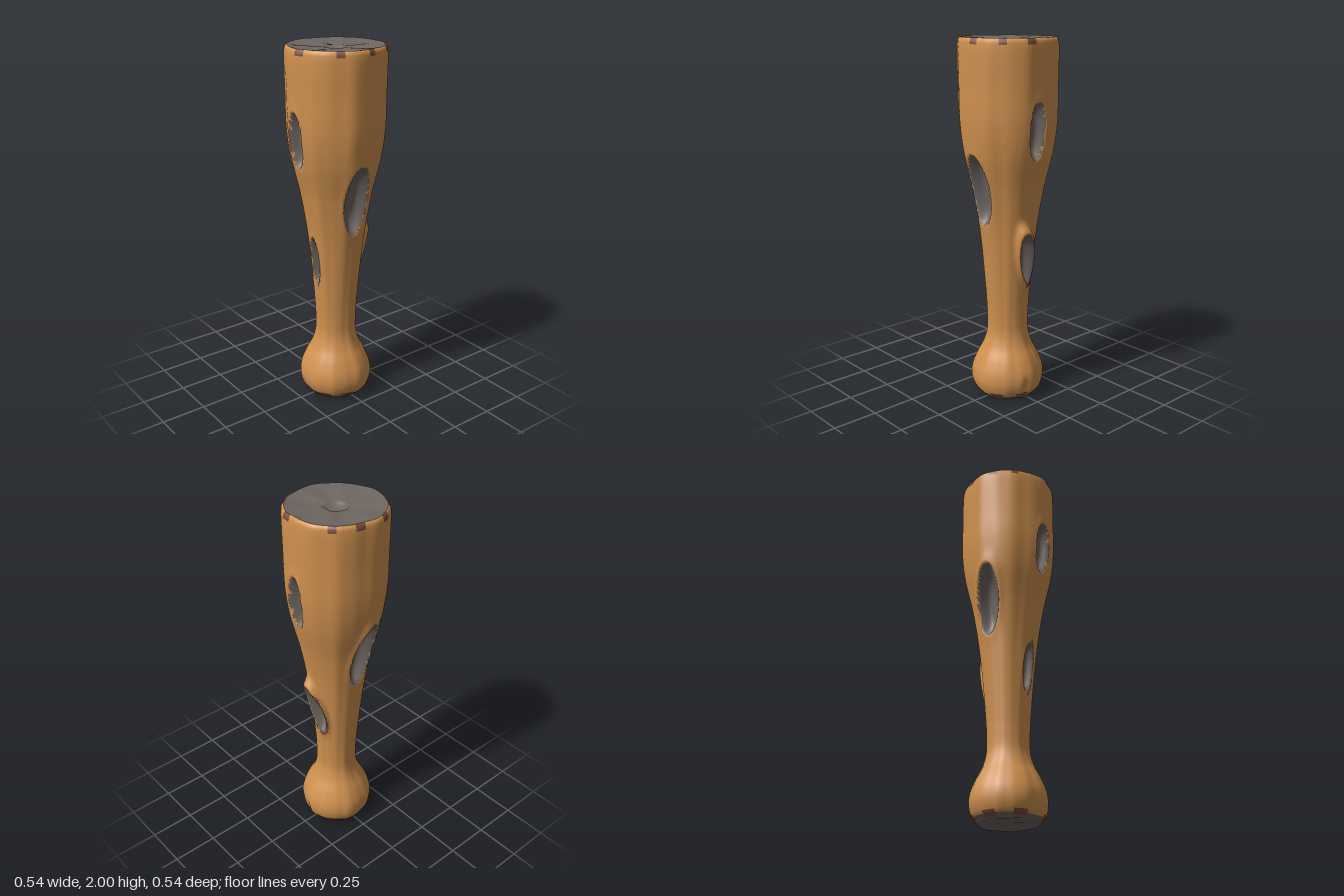
import * as THREE from 'three';

const wood = new THREE.MeshStandardMaterial({ color: 0xd0914f });
wood.name = 'orange wood';
const core = new THREE.MeshStandardMaterial({ color: 0x6e6661 });
core.name = 'grey core';
const chip = new THREE.MeshStandardMaterial({ color: 0x7a4c3a });
chip.name = 'brown chipped edge';

const COLS = 160, ROWS = 210;

// Outer profile: radius, height
const profile = new THREE.CatmullRomCurve3([
  [0.165, 0.015], [0.185, 0.035], [0.203, 0.09], [0.2, 0.15], [0.175, 0.22], [0.135, 0.3],
  [0.116, 0.37], [0.115, 0.48], [0.124, 0.62], [0.14, 0.8], [0.163, 1.0], [0.197, 1.2],
  [0.243, 1.4], [0.262, 1.55], [0.266, 1.75], [0.267, 1.965], [0.262, 1.99], [0.252, 1.998],
].map(([r, y]) => new THREE.Vector3(r, y, 0)));

// Oval hollows: a = angle from the front toward +x, w and h = half sizes
const hollows = [
  { a: -0.03, y: 1.2, w: 0.075, h: 0.2, depth: 0.06, lip: 0.004, tilt: 0 },
  { a: Math.PI + 0.1, y: 1.2, w: 0.07, h: 0.2, depth: 0.06, lip: 0.012, tilt: 0.1 },
  { a: Math.PI / 2 - 0.07, y: 1.525, w: 0.05, h: 0.155, depth: 0.05, lip: 0.003, tilt: 0 },
  { a: -Math.PI / 2, y: 1.525, w: 0.05, h: 0.155, depth: 0.05, lip: 0.003, tilt: 0 },
  { a: Math.PI / 2 + 0.06, y: 0.815, w: 0.048, h: 0.155, depth: 0.04, lip: 0.042, tilt: -0.2, chipped: true },
  { a: -Math.PI / 2, y: 0.83, w: 0.035, h: 0.14, depth: 0.035, lip: 0.003, tilt: 0, chipped: true },
];

// Angles of the chips along the top and bottom rims
const topChips = [[0.19, -0.19], [0.07, -0.265], [-0.1, -0.25], [-0.2, -0.17], [-0.265, 0.05],
  [-0.14, 0.225], [0.03, 0.265], [0.19, 0.205], [0.26, 0.07]].map(([x, z]) => Math.atan2(x, z));
const bottomChips = [0.5, 1.3, 2.4, 3.3, 4.2, 5.3, 6.0];

const wrap = (a) => Math.atan2(Math.sin(a), Math.cos(a));

// Elliptic distance from the centre of a hollow; 1 is its edge
function hollowDistance(hole, a, y, r) {
  const v = (y - hole.y) / hole.h;
  const u = (wrap(a - hole.a) - hole.tilt * v) * r / hole.w;
  return Math.hypot(u, v);
}

// Gentle uneven fluting of the wood
function fluting(a, y) {
  return 1 + 0.012 * Math.sin(5 * a + 1.5 * y) + 0.008 * Math.sin(9 * a - 2 * y + 1)
    + 0.004 * Math.sin(16 * a + 0.5);
}

function surfaceRadius(a, y, base) {
  let r = base * fluting(a, y);
  for (const hole of hollows) {
    const d = hollowDistance(hole, a, y, base);
    if (d > 2.5) continue;
    const v = THREE.MathUtils.clamp((y - hole.y) / hole.h, -1, 1);
    r += hole.lip * (0.6 + 0.4 * v) * Math.exp(-Math.pow((d - 1) / 0.3, 2));
    if (d < 1) r -= hole.depth * (1 - d ** 4);
  }
  // Crease down the foot
  const foot = Math.exp(-Math.pow((y - 0.07) / 0.06, 2));
  return r - 0.014 * foot * Math.exp(-Math.pow(wrap(a - 1.4) / 0.12, 2));
}

// Colour slot: 0 wood, 1 core, 2 chip
function slotAt(a, y, r) {
  for (const hole of hollows) {
    const d = hollowDistance(hole, a, y, r);
    if (d < 1) return 1;
    if (hole.chipped && d < 1.16 && wrap(a - hole.a) > 0.05) return 2;
  }
  const near = (list, width) => list.some((c) => Math.abs(wrap(a - c)) < width);
  if (y > 1.967 && near(topChips, 0.09)) return 2;
  if (y < 0.04 && near(bottomChips, 0.2)) return 2;
  if (y < 0.026) return 1;
  return 0;
}

function buildBody() {
  const positions = [];
  const slots = [[], [], []];
  const rows = profile.getSpacedPoints(ROWS);
  rows.forEach(({ x: base, y }) => {
    for (let j = 0; j < COLS; j++) {
      const a = j / COLS * Math.PI * 2;
      const r = surfaceRadius(a, y, base);
      positions.push(r * Math.sin(a), y, r * Math.cos(a));
    }
  });
  for (let i = 0; i < ROWS; i++) {
    const y = (rows[i].y + rows[i + 1].y) / 2;
    const r = (rows[i].x + rows[i + 1].x) / 2;
    for (let j = 0; j < COLS; j++) {
      const k = (j + 1) % COLS;
      const a = i * COLS + j, b = i * COLS + k, c = a + COLS, d = b + COLS;
      slots[slotAt((j + 0.5) / COLS * Math.PI * 2, y, r)].push(a, b, c, b, d, c);
    }
  }
  const geometry = new THREE.BufferGeometry();
  geometry.setAttribute('position', new THREE.Float32BufferAttribute(positions, 3));
  geometry.setIndex(slots.flat());
  let start = 0;
  slots.forEach((list, slot) => {
    geometry.addGroup(start, list.length, slot);
    start += list.length;
  });
  geometry.computeVertexNormals();
  return new THREE.Mesh(geometry, [wood, core, chip]);
}

// End face: rings from the rim to the centre, following the fluted outline
function buildEnd(rings, rimHeight, ripple, up) {
  const positions = [], index = [];
  rings.forEach(([r, y], i) => {
    for (let j = 0; j < COLS; j++) {
      const a = j / COLS * Math.PI * 2;
      const rr = i === 0 ? surfaceRadius(a, rimHeight, r) : r * fluting(a, rimHeight);
      const wave = i > 0 && r > 0.07 ? ripple * Math.sin(6 * a + 1) : 0;
      positions.push(rr * Math.sin(a), y + wave, rr * Math.cos(a));
    }
  });
  for (let i = 0; i < rings.length - 1; i++) {
    for (let j = 0; j < COLS; j++) {
      const k = (j + 1) % COLS;
      const a = i * COLS + j, b = i * COLS + k, c = a + COLS, d = b + COLS;
      if (up) index.push(a, b, c, b, d, c);
      else index.push(a, c, b, b, c, d);
    }
  }
  const geometry = new THREE.BufferGeometry();
  geometry.setAttribute('position', new THREE.Float32BufferAttribute(positions, 3));
  geometry.setIndex(index);
  geometry.computeVertexNormals();
  return new THREE.Mesh(geometry, core);
}

export function createModel() {
  const club = new THREE.Group();
  club.name = 'woodenClub';

  const body = buildBody();
  body.name = 'body';

  // Slightly dished top with a small pit in the middle
  const top = buildEnd([[0.252, 1.998], [0.2, 1.99], [0.12, 1.985], [0.064, 1.985],
    [0.058, 1.975], [0.03, 1.965], [0.0005, 1.962]], 1.998, 0.004, true);
  top.name = 'topFace';

  const bottom = buildEnd([[0.165, 0.015], [0.155, 0.002], [0.1, 0.004], [0.0005, 0.012]],
    0.015, 0.002, false);
  bottom.name = 'bottomFace';

  club.add(body, top, bottom);
  return club;
}
